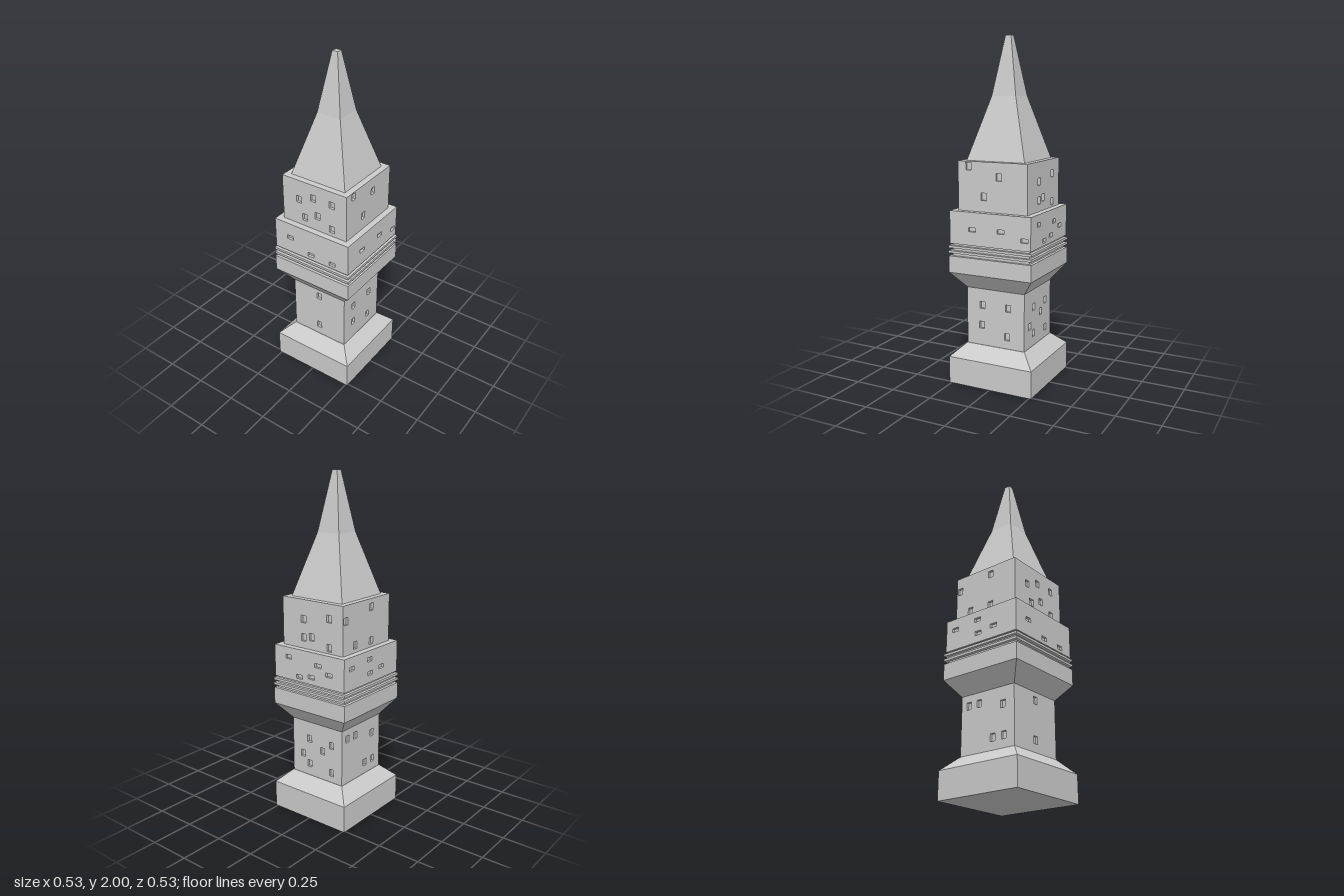
import * as THREE from 'three';

const material = new THREE.MeshStandardMaterial({ color: 0xcccccc, flatShading: true });
const DEPTH = 0.015; // window recess

// Square frustum from y0 (half-width h0) to y1 (half-width h1)
function frustum(name, y0, h0, y1, h1, open = false) {
  const g = new THREE.CylinderGeometry(h1 * Math.SQRT2, h0 * Math.SQRT2, y1 - y0, 4, 1, open);
  g.rotateY(Math.PI / 4);
  g.translate(0, (y0 + y1) / 2, 0);
  const m = new THREE.Mesh(g, material);
  m.name = name;
  return m;
}

// Wall panel facing +z with rectangular window openings centred at [u, y]
function wallPanel(half, y0, y1, windows, w, h) {
  const rect = (path, a, b, c, d) =>
    path.moveTo(a, b).lineTo(c, b).lineTo(c, d).lineTo(a, d).closePath();
  const shape = rect(new THREE.Shape(), -half, y0, half, y1);
  for (const [u, y] of windows) {
    const cu = THREE.MathUtils.clamp(u, -half + w / 2 + 0.006, half - w / 2 - 0.006);
    const cy = THREE.MathUtils.clamp(y, y0 + h / 2 + 0.006, y1 - h / 2 - 0.006);
    shape.holes.push(rect(new THREE.Path(), cu - w / 2, cy - h / 2, cu + w / 2, cy + h / 2));
  }
  return new THREE.ExtrudeGeometry(shape, { depth: DEPTH, bevelEnabled: false });
}

// Square storey: solid core wrapped by four pierced panels (front, right, back, left)
function storey(name, half, y0, y1, w, h, faces) {
  const group = new THREE.Group();
  group.name = name;
  group.add(frustum(name + 'Core', y0, half - DEPTH, y1, half - DEPTH));
  faces.forEach((windows, i) => {
    const panelHalf = i % 2 ? half - DEPTH : half;
    const wall = new THREE.Mesh(wallPanel(panelHalf, y0, y1, windows, w, h), material);
    wall.geometry.translate(0, 0, half - DEPTH);
    wall.rotation.y = (i * Math.PI) / 2;
    wall.name = name + ['FrontWall', 'RightWall', 'BackWall', 'LeftWall'][i];
    group.add(wall);
  });
  return group;
}

export function createModel() {
  const tower = new THREE.Group();
  tower.name = 'tower';

  // Plinth
  tower.add(frustum('plinth', 0, 0.263, 0.16, 0.263));
  tower.add(frustum('plinthSlope', 0.16, 0.263, 0.235, 0.185));

  // Shaft; window positions run left to right across each wall
  tower.add(storey('shaft', 0.183, 0.235, 0.572, 0.032, 0.042, [
    [[-0.083, 0.475], [0.08, 0.475], [-0.088, 0.355], [0.073, 0.305]],
    [[0.108, 0.465], [-0.057, 0.467], [0.04, 0.413], [0.108, 0.295], [-0.106, 0.362], [-0.057, 0.309]],
    [[-0.13, 0.51], [-0.056, 0.51], [0.107, 0.475], [0.039, 0.305], [0.114, 0.305]],
    [[0, 0.525], [0, 0.305]],
  ]));

  // Flared cornice and stacked bands
  tower.add(frustum('corniceFlare', 0.572, 0.183, 0.668, 0.259));
  tower.add(frustum('cornice', 0.668, 0.259, 0.765, 0.259));
  tower.add(frustum('bandCore', 0.765, 0.242, 0.84, 0.242));
  for (const y of [0.782, 0.812]) tower.add(frustum('band', y, 0.26, y + 0.014, 0.26));

  // Wide storey with low windows
  tower.add(storey('middleStorey', 0.253, 0.837, 1.027, 0.044, 0.024, [
    [[-0.11, 0.928], [0.07, 0.931], [0.215, 0.894]],
    [[-0.146, 0.97], [0.068, 0.956], [0.146, 0.917], [-0.068, 0.866], [0.02, 0.88]],
    [[-0.185, 0.96], [-0.02, 0.975], [-0.014, 0.893], [0.095, 0.907]],
    [[-0.146, 0.934], [0, 0.87], [0.146, 0.866]],
  ]));

  // Upper storey with upright windows
  tower.add(storey('upperStorey', 0.216, 1.027, 1.308, 0.034, 0.042, [
    [[-0.149, 1.28], [-0.054, 1.113], [0.041, 1.227]],
    [[0.12, 1.224], [-0.064, 1.196], [0.12, 1.06], [-0.006, 1.1], [-0.064, 1.09]],
    [[-0.19, 1.22], [-0.108, 1.07], [0.041, 1.26], [0.041, 1.065]],
    [[0.12, 1.224], [-0.006, 1.225], [-0.103, 1.187], [0.023, 1.12], [-0.064, 1.082], [0.12, 1.07]],
  ]));

  // Two-stage spire
  tower.add(frustum('spireLower', 1.308, 0.18, 1.665, 0.075));
  tower.add(frustum('spireUpper', 1.665, 0.075, 2, 0.017));
  return tower;
}
